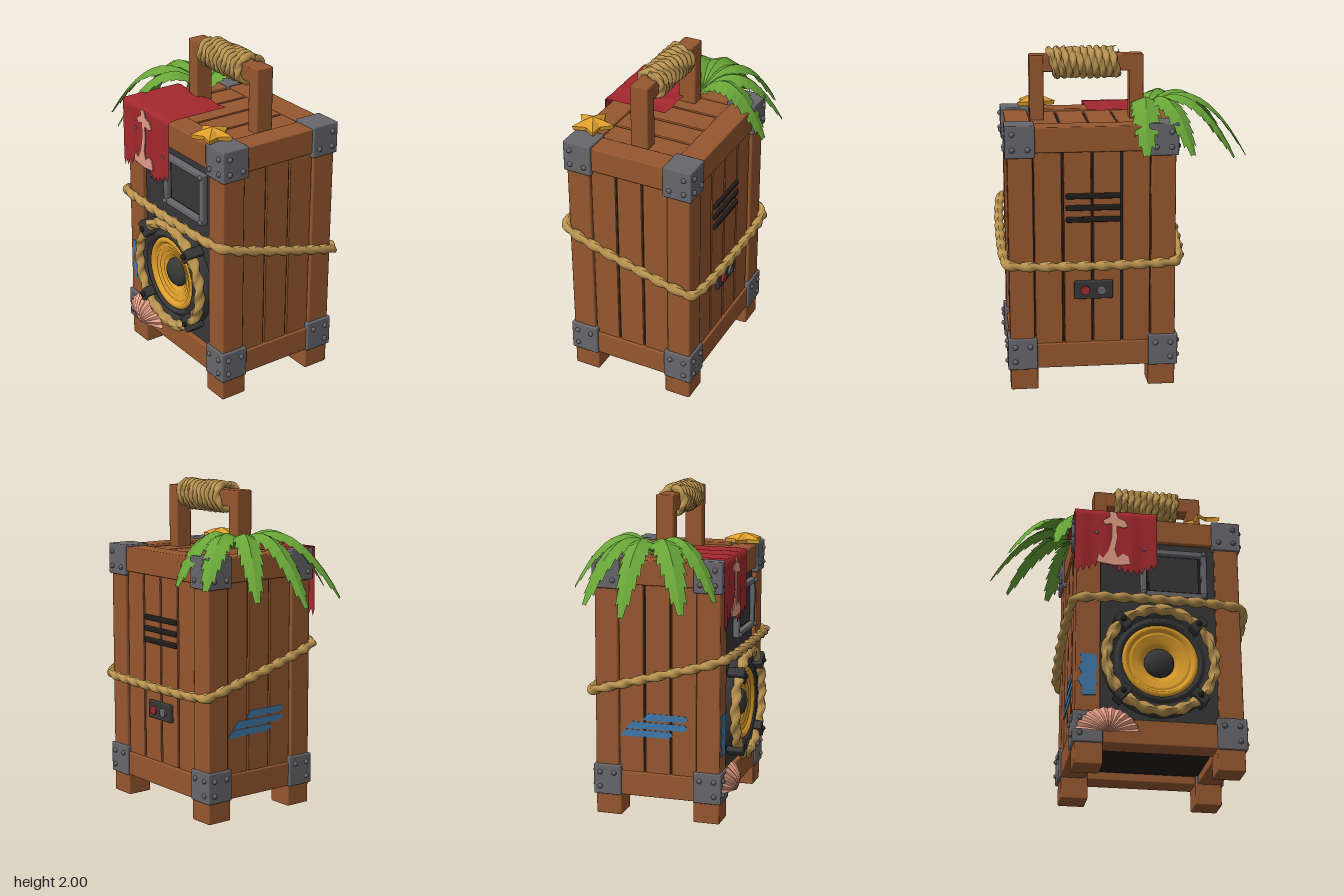
import * as THREE from 'three';
import { RoundedBoxGeometry } from 'three/addons/geometries/RoundedBoxGeometry.js';

export function createModel() {
  const root = new THREE.Group();
  const mat = (name, color, double) => {
    const m = new THREE.MeshStandardMaterial({ color });
    m.name = name;
    if (double) m.side = THREE.DoubleSide;
    return m;
  };
  const wood = mat('wood', 0x96572f), black = mat('black', 0x211e1c), metal = mat('metal', 0x66666c);
  const charcoal = mat('charcoal', 0x373737), rope = mat('rope', 0xb8924f), yellow = mat('yellow', 0xdf9f2c);
  const red = mat('red', 0xa3282e, true), green = mat('green', 0x68a538, true);
  const blue = mat('blue', 0x3f78a8, true), pink = mat('pink', 0xe39c86, true);

  const group = (name) => { const g = new THREE.Group(); g.name = name; root.add(g); return g; };
  const add = (parent, name, geo, m) => {
    const o = new THREE.Mesh(geo, m);
    o.name = name;
    parent.add(o);
    return o;
  };
  // box from its lower and upper limits
  const box = (parent, name, m, x0, x1, y0, y1, z0, z1, bevel = 0.008) => {
    const s = [x1 - x0, y1 - y0, z1 - z0];
    const geo = bevel ? new RoundedBoxGeometry(...s, 1, bevel) : new THREE.BoxGeometry(...s);
    const o = add(parent, name, geo, m);
    o.position.set((x0 + x1) / 2, (y0 + y1) / 2, (z0 + z1) / 2);
    return o;
  };
  // grid whose vertices are placed by fn(u, v, column, row)
  const warp = (nu, nv, fn, flat) => {
    let g = new THREE.PlaneGeometry(1, 1, nu, nv);
    const p = g.attributes.position;
    for (let i = 0; i < p.count; i++) {
      const c = i % (nu + 1), r = Math.floor(i / (nu + 1));
      p.setXYZ(i, ...fn(c / nu, r / nv, c, r));
    }
    if (flat) g = g.toNonIndexed();
    g.computeVertexNormals();
    return g;
  };
  // twisted rope: tube with two lobes that turn along its length
  const ropeGeo = (pts, radius, segs, turns, closed) => {
    const curve = new THREE.CatmullRomCurve3(pts, closed);
    const n = 10, g = new THREE.TubeGeometry(curve, segs, radius, n, closed), p = g.attributes.position;
    const c = new THREE.Vector3(), v = new THREE.Vector3();
    for (let i = 0; i <= segs; i++) {
      curve.getPointAt(i / segs, c);
      for (let j = 0; j <= n; j++) {
        const k = i * (n + 1) + j;
        const f = 0.84 + 0.2 * Math.cos(2 * (j / n + turns * i / segs) * Math.PI * 2);
        v.fromBufferAttribute(p, k).sub(c).multiplyScalar(f).add(c);
        p.setXYZ(k, v.x, v.y, v.z);
      }
    }
    g.computeVertexNormals();
    return g;
  };
  const plate = (pts, depth = 0.006) => new THREE.ExtrudeGeometry(
    new THREE.Shape(pts.map(([x, y]) => new THREE.Vector2(x, y))), { depth, bevelEnabled: false });

  // crate: dark core, frame, feet and planks
  const CX = 0.205, X0 = -0.285, X1 = 0.695, Z = 0.39;
  const crate = group('crate');
  box(crate, 'core', black, X0 + 0.03, X1 - 0.03, 0.18, 1.55, -0.355, 0.345, 0);
  box(crate, 'frontPanel', charcoal, -0.15, 0.56, 0.27, 1.44, 0.34, 0.362, 0);
  for (const sx of [-1, 1]) for (const sz of [-1, 1]) {
    const xa = sx < 0 ? X0 : 0.55, za = sz < 0 ? -Z : 0.245;
    box(crate, 'cornerPost', wood, xa, xa + 0.145, 0.14, 1.57, za, za + 0.145);
    const fx = sx < 0 ? X0 : 0.533, fz = sz < 0 ? -Z : 0.228;
    box(crate, 'foot', wood, fx, fx + 0.162, 0, 0.14, fz, fz + 0.162);
  }
  for (const y of [0.13, 1.43]) {
    for (const z of [-Z, 0.245]) box(crate, 'longBeam', wood, X0, X1, y, y + 0.15, z, z + 0.145);
    for (const x of [X0, 0.55]) box(crate, 'sideBeam', wood, x, x + 0.145, y, y + 0.15, -0.25, 0.25);
  }
  for (const z of [-0.165, 0, 0.165]) for (const x of [X0 + 0.015, X1 - 0.035])
    box(crate, 'sidePlank', wood, x, x + 0.02, 0.27, 1.44, z - 0.077, z + 0.077, 0.005);
  for (let i = 0; i < 4; i++) {
    const x = -0.14 + i * 0.1725;
    box(crate, 'backPlank', wood, x + 0.006, x + 0.1665, 0.27, 1.44, -0.375, -0.35, 0.005);
    box(crate, 'topPlank', wood, x + 0.006, x + 0.1665, 1.54, 1.565, -0.25, 0.25, 0.005);
  }

  // metal corner caps with rivets on the outer faces
  const corners = group('cornerCaps'), rivet = new THREE.SphereGeometry(0.016, 10, 8);
  const addRivet = (parent, x, y, z) => add(parent, 'rivet', rivet, metal).position.set(x, y, z);
  for (const sx of [-1, 1]) for (const sy of [-1, 1]) for (const sz of [-1, 1]) {
    const x = CX + sx * 0.4175, y = sy < 0 ? 0.222 : 1.498, z = sz * 0.315, h = 0.0875;
    box(corners, 'cornerCap', metal, x - h, x + h, y - 0.095, y + 0.095, z - h, z + h);
    for (const [a, b] of [[0.045, 0.045], [0.045, -0.045], [-0.045, -0.045]]) {
      addRivet(corners, x + sx * a, y + sy * b, z + sz * h);
      addRivet(corners, x + sx * h, y + sy * b, z + sz * a);
    }
  }

  // carrying handle with rope winding
  const handle = group('handle');
  for (const x of [-0.135, 0.46]) box(handle, 'handlePost', wood, x, x + 0.085, 1.56, 1.95, -0.055, 0.055);
  box(handle, 'handleBar', wood, -0.135, 0.545, 1.85, 1.95, -0.053, 0.053);
  const coil = [];
  for (let i = 0; i <= 160; i++) {
    const a = i / 16 * Math.PI * 2;
    coil.push(new THREE.Vector3(0.01 + 0.4 * i / 160 + 0.012 * Math.cos(a), 1.9 + 0.074 * Math.cos(a), 0.074 * Math.sin(a)));
  }
  add(handle, 'handleRope', ropeGeo(coil, 0.026, 400, 30, false), rope);

  // rope tied round the crate, lower at the back
  const loop = [[0.62, 1.015, 0.43], [0.7, 1.01, 0.405], [0.722, 0.985, 0.33], [0.722, 0.8, -0.33], [0.7, 0.775, -0.405], [0.62, 0.77, -0.43]];
  const mirrored = loop.slice().reverse().map(([x, y, z]) => [2 * CX - x, y, z]);
  add(root, 'crateRope', ropeGeo([...loop, ...mirrored].map(p => new THREE.Vector3(...p)), 0.031, 360, 17, true), rope);

  // loudspeaker
  const speaker = group('speaker');
  speaker.position.set(CX, 0.64, 0);
  const lathe = (name, pts, m) => add(speaker, name,
    new THREE.LatheGeometry(pts.map(([r, h]) => new THREE.Vector2(r, h)), 48).rotateX(Math.PI / 2), m);
  lathe('rim', [[0.335, 0.36], [0.335, 0.41], [0.3, 0.425], [0.285, 0.425], [0.275, 0.412], [0.262, 0.412],
    [0.25, 0.43], [0.235, 0.43], [0.22, 0.408]], charcoal);
  lathe('cone', [[0.226, 0.41], [0.215, 0.424], [0.195, 0.424], [0.185, 0.406], [0.175, 0.404], [0.165, 0.412],
    [0.15, 0.396], [0.14, 0.404], [0.125, 0.388], [0.115, 0.395], [0.1, 0.376], [0.08, 0.37]], yellow);
  lathe('dustCap', [[0.09, 0.366], [0.086, 0.388], [0.07, 0.407], [0.04, 0.42], [0, 0.425]], charcoal);
  const ring = [];
  for (let i = 0; i < 32; i++) {
    const a = i / 32 * Math.PI * 2;
    ring.push(new THREE.Vector3(0.318 * Math.cos(a), 0.318 * Math.sin(a), 0.437));
  }
  add(speaker, 'speakerRope', ropeGeo(ring, 0.035, 240, 9, true), rope);
  for (let i = 0; i < 4; i++) {
    const clamp = new THREE.Group();
    clamp.name = 'clamp';
    clamp.rotation.z = Math.PI / 4 + i * Math.PI / 2;
    speaker.add(clamp);
    box(clamp, 'clampBlock', charcoal, 0.265, 0.365, -0.03, 0.03, 0.37, 0.475);
    add(clamp, 'clampBolt', rivet, black).position.set(0.315, 0, 0.477);
  }

  // small framed window
  const screen = group('screen');
  box(screen, 'screenGlass', black, 0.11, 0.49, 1.07, 1.37, 0.36, 0.368, 0);
  box(screen, 'screenInset', charcoal, 0.15, 0.45, 1.11, 1.34, 0.366, 0.376, 0);
  for (const y of [1.065, 1.345]) box(screen, 'screenRail', metal, 0.1, 0.5, y, y + 0.035, 0.36, 0.4);
  for (const x of [0.1, 0.465]) box(screen, 'screenStile', metal, x, x + 0.035, 1.065, 1.38, 0.36, 0.4);
  for (const x of [0.118, 0.482]) for (const y of [1.083, 1.362]) addRivet(screen, x, y, 0.4);

  // vents and control plate on the back
  const back = group('backControls');
  for (const y of [1.03, 1.1, 1.17]) box(back, 'vent', black, 0.04, 0.36, y - 0.016, y + 0.016, -0.392, -0.36);
  box(back, 'controlPlate', charcoal, 0.085, 0.315, 0.55, 0.66, -0.395, -0.36);
  [[0.25, red], [0.155, metal]].forEach(([x, m]) => {
    add(back, 'knob', new THREE.CylinderGeometry(0.027, 0.027, 0.016, 16).rotateX(Math.PI / 2), m).position.set(x, 0.605, -0.4);
  });

  // ragged cloth over the top edge, with a palm print
  const cloth = group('cloth');
  add(cloth, 'clothSheet', warp(28, 20, (u, v, c) => {
    const x = -0.3 + 0.495 * u, wave = 0.004 * Math.sin(u * 21);
    if (v < 0.45) return [x, 1.605 + wave, 0.02 + v / 0.45 * 0.38];
    const s = (v - 0.45) / 0.55, len = 0.36 + (c % 2) * 0.04 + 0.03 * Math.cos(u * 9);
    return [x, 1.603 - s * len, 0.415 + wave * (0.5 + s)];
  }), red);
  add(cloth, 'palmPrint', plate([[-0.17, 1.25], [-0.06, 1.235], [0.03, 1.245], [0.02, 1.3], [-0.01, 1.32], [-0.045, 1.29],
    [-0.06, 1.34], [-0.045, 1.42], [-0.05, 1.5], [-0.01, 1.49], [0.02, 1.5], [0, 1.54], [-0.04, 1.555], [-0.055, 1.595],
    [-0.095, 1.595], [-0.09, 1.56], [-0.135, 1.53], [-0.12, 1.505], [-0.08, 1.515], [-0.08, 1.42], [-0.1, 1.33],
    [-0.13, 1.28], [-0.16, 1.31]]), pink).position.z = 0.42;

  // scallop shell at the lower front
  add(root, 'shell', warp(22, 5, (u, v, c) => {
    const a = (0.05 + 0.9 * u) * Math.PI, ridge = (c % 2) * v;
    const r = v * (1 - 0.03 * (c % 2));
    return [-0.1 + 0.187 * r * Math.cos(a), 0.172 + 0.168 * r * Math.sin(a),
      0.45 - 0.04 * v + 0.035 * Math.sin(Math.PI * v) * Math.sin(a) - 0.012 * ridge];
  }, true), pink);

  // starfish resting on the top corner
  const star = add(root, 'starfish', warp(10, 3, (u, v, c) => {
    const a = u * Math.PI * 2, r = (c % 2 ? 0.068 : 0.125) * [0, 0.5, 1, 0.95][Math.round(v * 3)];
    return [r * Math.cos(a), [0.05, 0.036, 0.012, -0.012][Math.round(v * 3)], -r * Math.sin(a)];
  }, true), yellow);
  star.position.set(0.495, 1.61, 0.325);
  star.rotation.y = 0.5;

  // palm fronds: folded leaves with saw-tooth edges
  const fronds = group('palmFronds');
  const frond = (tx, tz, endY, half) => {
    const bx = -0.14, bz = -0.06, len = Math.hypot(tx - bx, tz - bz), dx = (tx - bx) / len, dz = (tz - bz) / len;
    const drop = endY - 1.62, a = 0.2 + Math.sqrt(0.04 - 0.4 * drop), b = drop - a, N = 11, pos = [];
    const point = (t, w) => [bx + dx * len * t - dz * w, 1.62 + a * t + b * t * t - Math.abs(w) * 0.4, bz + dz * len * t + dx * w];
    const width = (t) => half * Math.pow(Math.sin(Math.PI * (0.12 + 0.86 * t)), 0.6);
    for (let i = 0; i < N; i++) for (const s of [-1, 1]) {
      const t0 = i / N, t1 = (i + 1) / N;
      const A = point(t0, 0), B = point(t1, 0), C = point(Math.min(1, t1 + 0.03), s * width(t1)), D = point(t0, s * width(t0) * 0.72);
      pos.push(...(s > 0 ? [A, C, B, A, D, C] : [A, B, C, A, C, D]).flat());
    }
    const g = new THREE.BufferGeometry();
    g.setAttribute('position', new THREE.Float32BufferAttribute(pos, 3));
    g.computeVertexNormals();
    add(fronds, 'frond', g, green);
  };
  [[-0.1, -0.48, 1.42, 0.1], [-0.37, -0.48, 1.42, 0.09], [-0.64, -0.32, 1.37, 0.085], [-0.76, -0.06, 1.33, 0.085],
    [-0.68, 0.27, 1.35, 0.095], [-0.41, 0.39, 1.38, 0.085]].forEach(f => frond(...f));

  // worn blue paint on the front post and the neighbouring side
  const paint = group('bluePaint');
  add(paint, 'frontPaint', plate([[-0.25, 0.41], [-0.165, 0.415], [-0.17, 0.46], [-0.16, 0.48], [-0.165, 0.56], [-0.155, 0.58],
    [-0.165, 0.665], [-0.255, 0.67], [-0.25, 0.6], [-0.265, 0.58], [-0.245, 0.54], [-0.27, 0.5], [-0.245, 0.46]], 0.004), blue).position.z = 0.39;
  [[-0.24, 0.1, 0.5], [-0.2, 0.19, 0.55], [-0.1, 0.19, 0.605]].forEach(([z0, z1, y]) => {
    const stroke = add(paint, 'sidePaint', plate([[z0, y], [z1 - 0.03, y + 0.005], [z1, y + 0.025], [z1 - 0.02, y + 0.045],
      [z0 + 0.04, y + 0.045], [z0 + 0.02, y + 0.025]], 0.004), blue);
    stroke.rotation.y = -Math.PI / 2;
    stroke.position.x = X0 + 0.015;
  });
  return root;
}
